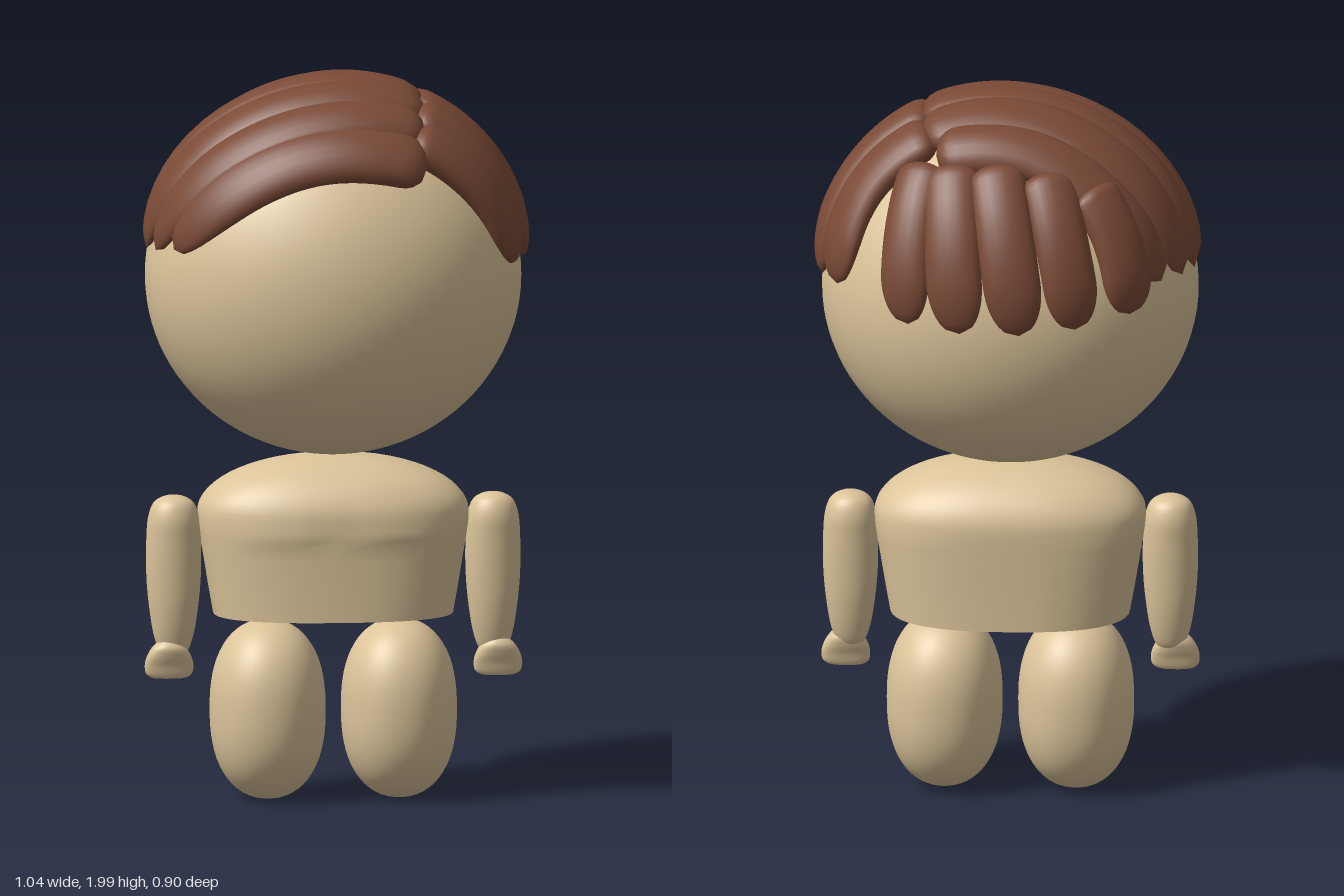
import * as THREE from 'three';

const skin = new THREE.MeshStandardMaterial({ color: 0xdcc49a });
const brown = new THREE.MeshStandardMaterial({ color: 0x7a4a36 });

// Skin over a stack of closed rings (counterclockwise about the direction of travel)
function loft(rings) {
  const n = rings[0].length, pos = [], idx = [];
  rings.forEach(r => r.forEach(p => pos.push(p.x, p.y, p.z)));
  for (let i = 0; i < rings.length - 1; i++) {
    for (let j = 0; j < n; j++) {
      const a = i * n + j, b = i * n + (j + 1) % n;
      idx.push(a, b, b + n, a, b + n, a + n);
    }
  }
  const g = new THREE.BufferGeometry();
  g.setAttribute('position', new THREE.Float32BufferAttribute(pos, 3));
  g.setIndex(idx);
  g.computeVertexNormals();
  return g;
}

// Horizontal superellipse ring
function ring(y, hx, hz, e = 2, n = 48) {
  const pw = v => Math.sign(v) * Math.abs(v) ** (2 / e);
  return Array.from({ length: n }, (_, j) => {
    const a = j / n * Math.PI * 2;
    return new THREE.Vector3(hx * pw(Math.cos(a)), y, -hz * pw(Math.sin(a)));
  });
}

// Rows of [half width, height, half depth], smoothed by a spline
function stack(rows, e, steps = 40) {
  const c = new THREE.CatmullRomCurve3(rows.map(r => new THREE.Vector3(...r)));
  return c.getPoints(steps).map(p => ring(p.y, Math.max(p.x, 0), Math.max(p.z, 0), e));
}

function mesh(name, geometry, material = skin) {
  const m = new THREE.Mesh(geometry, material);
  m.name = name;
  return m;
}

const headCentre = new THREE.Vector3(0, 1.44, 0.005);
const headSize = new THREE.Vector3(0.51, 0.49, 0.435);

// One lock of hair lying on the head, from root to tip
function lock(points, width, thick = 0.048) {
  const curve = new THREE.CatmullRomCurve3(points.map(p =>
    new THREE.Vector3(...p).sub(headCentre).divide(headSize).normalize()));
  const N = 32, M = 20, rings = [];
  const at = u => {
    const d = curve.getPoint(u).normalize();
    return d.multiply(headSize).multiplyScalar(1.045 - 0.035 * u * u).add(headCentre);
  };
  for (let i = 0; i <= N; i++) {
    const u = i / N, p = at(u);
    const t = at(Math.min(u + 0.01, 1)).sub(at(Math.max(u - 0.01, 0))).normalize();
    const up = p.clone().sub(headCentre).divide(headSize).divide(headSize).normalize();
    const side = up.clone().cross(t).normalize();
    up.crossVectors(t, side);
    // blunt round root, narrowing rounded tip
    const root = Math.sqrt(Math.max(0, 1 - Math.max(0, 1 - u / 0.12) ** 2));
    const tip = Math.sqrt(Math.max(0, 1 - Math.max(0, (u - 0.75) / 0.25) ** 2));
    const w = width * root * tip, h = thick * root * tip * (1 - 0.4 * u * u);
    rings.push(Array.from({ length: M }, (_, j) => {
      const a = j / M * Math.PI * 2;
      return p.clone().addScaledVector(side, w * Math.cos(a)).addScaledVector(up, h * Math.sin(a));
    }));
  }
  return loft(rings);
}

function makeHair() {
  const hair = new THREE.Group();
  hair.name = 'hair';
  const sets = {
    // long locks combed from the parting over to the right
    sweptLock: [
      [[[0.24, 1.78, 0.29], [-0.08, 1.815, 0.325], [-0.48, 1.55, 0.22]], 0.085],
      [[[0.24, 1.86, 0.2], [-0.05, 1.89, 0.235], [-0.5, 1.53, 0.12]], 0.08],
      [[[0.25, 1.9, 0.11], [-0.05, 1.95, 0.125], [-0.51, 1.52, 0.03]], 0.08],
      [[[0.25, 1.91, 0.03], [-0.05, 1.96, 0.02], [-0.51, 1.52, -0.07]], 0.078],
      [[[0.24, 1.9, -0.09], [-0.05, 1.95, -0.09], [-0.49, 1.53, -0.16]], 0.09],
      [[[0.19, 1.86, -0.18], [-0.07, 1.88, -0.215], [-0.44, 1.54, -0.25]], 0.08, 0.055],
    ],
    // short locks falling to the left
    sideLock: [
      [[[0.19, 1.84, 0.23], [0.37, 1.72, 0.215], [0.48, 1.49, 0.15]], 0.072],
      [[[0.2, 1.89, 0.13], [0.39, 1.75, 0.115], [0.51, 1.49, 0.04]], 0.075],
      [[[0.2, 1.9, 0.03], [0.39, 1.77, 0.01], [0.51, 1.49, -0.07]], 0.075],
      [[[0.19, 1.88, -0.09], [0.37, 1.76, -0.12], [0.48, 1.5, -0.19]], 0.085],
    ],
    // locks hanging down the back
    backLock: [
      [[[-0.22, 1.8, -0.25], [-0.3, 1.68, -0.3], [-0.33, 1.47, -0.32]], 0.075],
      [[[-0.1, 1.83, -0.25], [-0.15, 1.69, -0.36], [-0.19, 1.45, -0.4]], 0.075],
      [[[0.03, 1.84, -0.24], [0, 1.7, -0.37], [-0.04, 1.44, -0.43]], 0.078],
      [[[0.14, 1.83, -0.22], [0.14, 1.7, -0.35], [0.12, 1.44, -0.42]], 0.078],
      [[[0.21, 1.83, -0.19], [0.26, 1.7, -0.31], [0.26, 1.45, -0.37]], 0.072],
    ],
  };
  for (const [name, locks] of Object.entries(sets)) {
    locks.forEach((l, i) => hair.add(mesh(name + (i + 1), lock(...l), brown)));
  }
  return hair;
}

// Flat-bottomed torso flaring to the shoulders, domed on top, with a faint chest
function makeTorso() {
  const rings = [ring(0.515, 0, 0), ring(0.515, 0.325, 0.21, 2.5), ring(0.515, 0.325, 0.21, 2.5)];
  for (const [y, hx, hz] of [[0.6, 0.34, 0.21], [0.68, 0.353, 0.212], [0.72, 0.36, 0.213],
    [0.735, 0.362, 0.213], [0.76, 0.366, 0.214]]) rings.push(ring(y, hx, hz, 2.5));
  for (let i = 0; i <= 16; i++) {
    const a = i / 16 * Math.PI / 2;
    rings.push(ring(0.79 + 0.16 * Math.sin(a), 0.368 * Math.cos(a), 0.214 * Math.cos(a), 2.4));
  }
  for (const p of rings.flat()) {
    if (p.z > 0.1 && p.y > 0.73 && p.y < 0.85) {
      const x = Math.abs(p.x);
      p.z += 0.008 * Math.min(1, x / 0.03) * Math.max(0, 1 - (x / 0.28) ** 4) * (0.85 - p.y) / 0.12;
    }
  }
  return mesh('torso', loft(rings));
}

export function createModel() {
  const model = new THREE.Group();
  model.name = 'figure';

  const head = mesh('head', new THREE.SphereGeometry(1, 64, 48));
  head.scale.copy(headSize);
  head.position.copy(headCentre);
  model.add(head, makeHair(), makeTorso());

  // Upright egg for the leg
  const legRings = [];
  for (let i = 0; i <= 32; i++) {
    const a = (i / 32 - 0.5) * Math.PI, s = Math.sin(a);
    const r = Math.max(0, 1 - Math.abs(s) ** 2.4) ** (1 / 2.2);
    legRings.push(ring(0.252 + 0.244 * s, 0.157 * r, 0.178 * r, 2.1));
  }
  const legGeometry = loft(legRings);
  const armGeometry = loft(stack([[0, 0.395, 0], [0.035, 0.41, 0.025], [0.052, 0.45, 0.04],
    [0.066, 0.53, 0.055], [0.074, 0.62, 0.062], [0.074, 0.72, 0.066], [0.069, 0.78, 0.066],
    [0.055, 0.818, 0.053], [0.03, 0.835, 0.03], [0, 0.84, 0]], 2));
  const handGeometry = loft(stack([[0, 0.34, 0], [0.045, 0.341, 0.012], [0.062, 0.352, 0.017],
    [0.066, 0.375, 0.023], [0.06, 0.4, 0.032], [0.045, 0.425, 0.036], [0.02, 0.445, 0.02],
    [0, 0.45, 0]], 2.2));

  for (const [side, s] of [['left', 1], ['right', -1]]) {
    const leg = mesh(side + 'Leg', legGeometry);
    leg.position.set(0.178 * s, 0, 0.012);
    const arm = mesh(side + 'Arm', armGeometry);
    arm.position.set(0.433 * s, 0, 0.01);
    const hand = mesh(side + 'Hand', handGeometry);
    hand.position.set(0.446 * s, 0, 0.02);
    model.add(leg, arm, hand);
  }
  return model;
}
